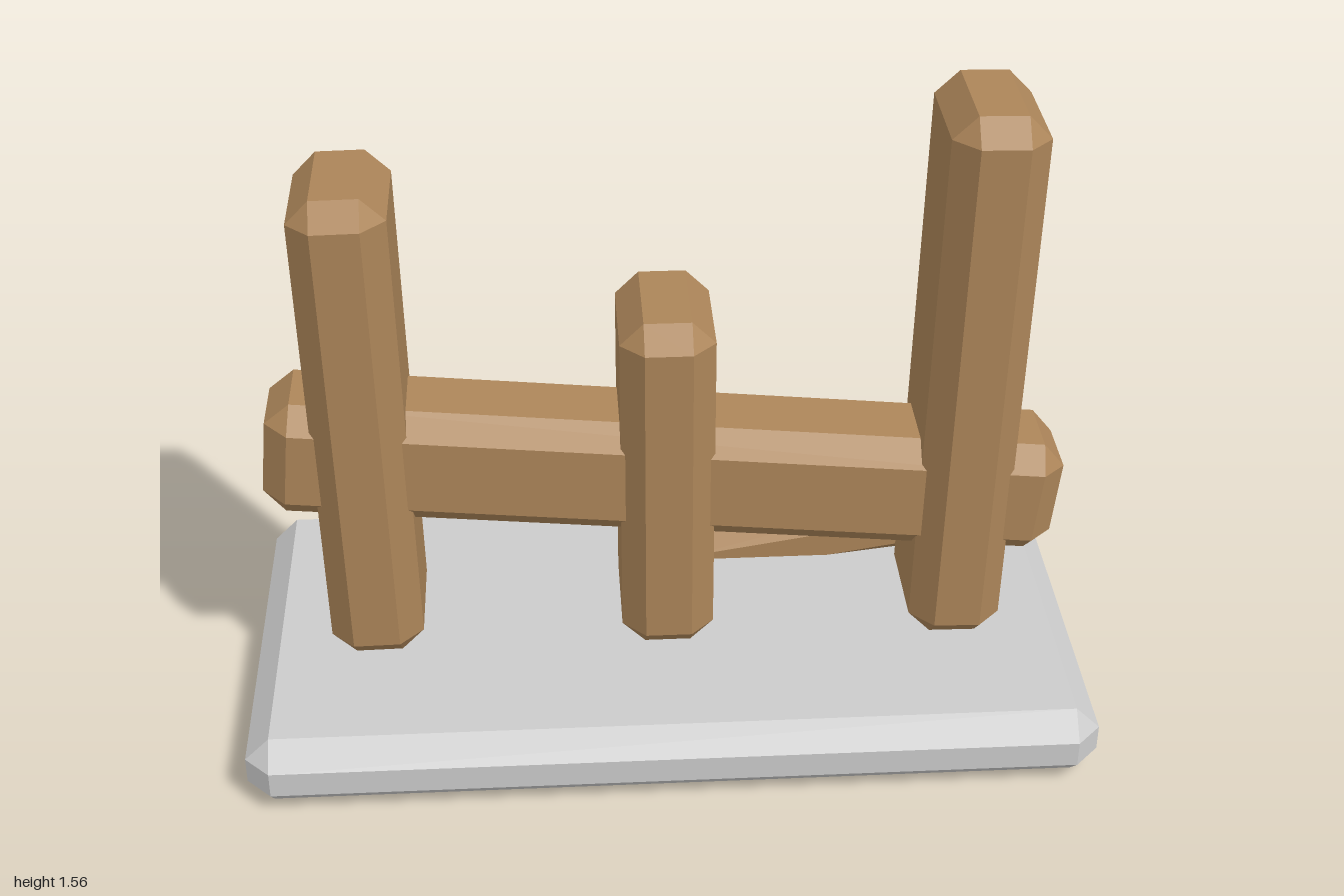
import * as THREE from 'three';
import { ConvexGeometry } from 'three/addons/geometries/ConvexGeometry.js';

const wood = new THREE.MeshStandardMaterial({ color: 0xac8559, flatShading: true });
const stone = new THREE.MeshStandardMaterial({ color: 0xcccccc, flatShading: true });

// Box with every edge and corner cut by a flat chamfer c
function chamferBox(w, h, d, c) {
  const points = [];
  const x = w / 2, y = h / 2, z = d / 2;
  for (const i of [-1, 1]) for (const j of [-1, 1]) for (const k of [-1, 1]) {
    points.push(
      new THREE.Vector3(i * x, j * (y - c), k * (z - c)),
      new THREE.Vector3(i * (x - c), j * y, k * (z - c)),
      new THREE.Vector3(i * (x - c), j * (y - c), k * z)
    );
  }
  return new ConvexGeometry(points);
}

export function createModel() {
  const group = new THREE.Group();

  function block(name, size, position, tilt = 0, material = wood, chamfer = 0.055) {
    const mesh = new THREE.Mesh(chamferBox(...size, chamfer), material);
    mesh.name = name;
    mesh.position.set(...position);
    mesh.rotation.z = tilt;
    group.add(mesh);
  }

  // Ground slab
  block('base', [2, 0.18, 1], [0, 0.09, 0], 0, stone, 0.058);

  // Upright posts, the outer two leaning slightly
  block('rightPost', [0.22, 1.22, 0.354], [-0.71, 0.79, 0], 0.018);
  block('middlePost', [0.22, 0.89, 0.354], [0, 0.625, 0]);
  block('leftPost', [0.22, 1.38, 0.354], [0.71, 0.868, 0], -0.018);

  // Sloping rail through the posts
  block('rail', [1.88, 0.294, 0.265], [0, 0.625, 0], -0.1);

  // Loose plank half sunk in the ground behind
  block('fallenPlank', [0.93, 0.177, 0.265], [0.485, 0.223, -0.337], 0.16);

  return group;
}
